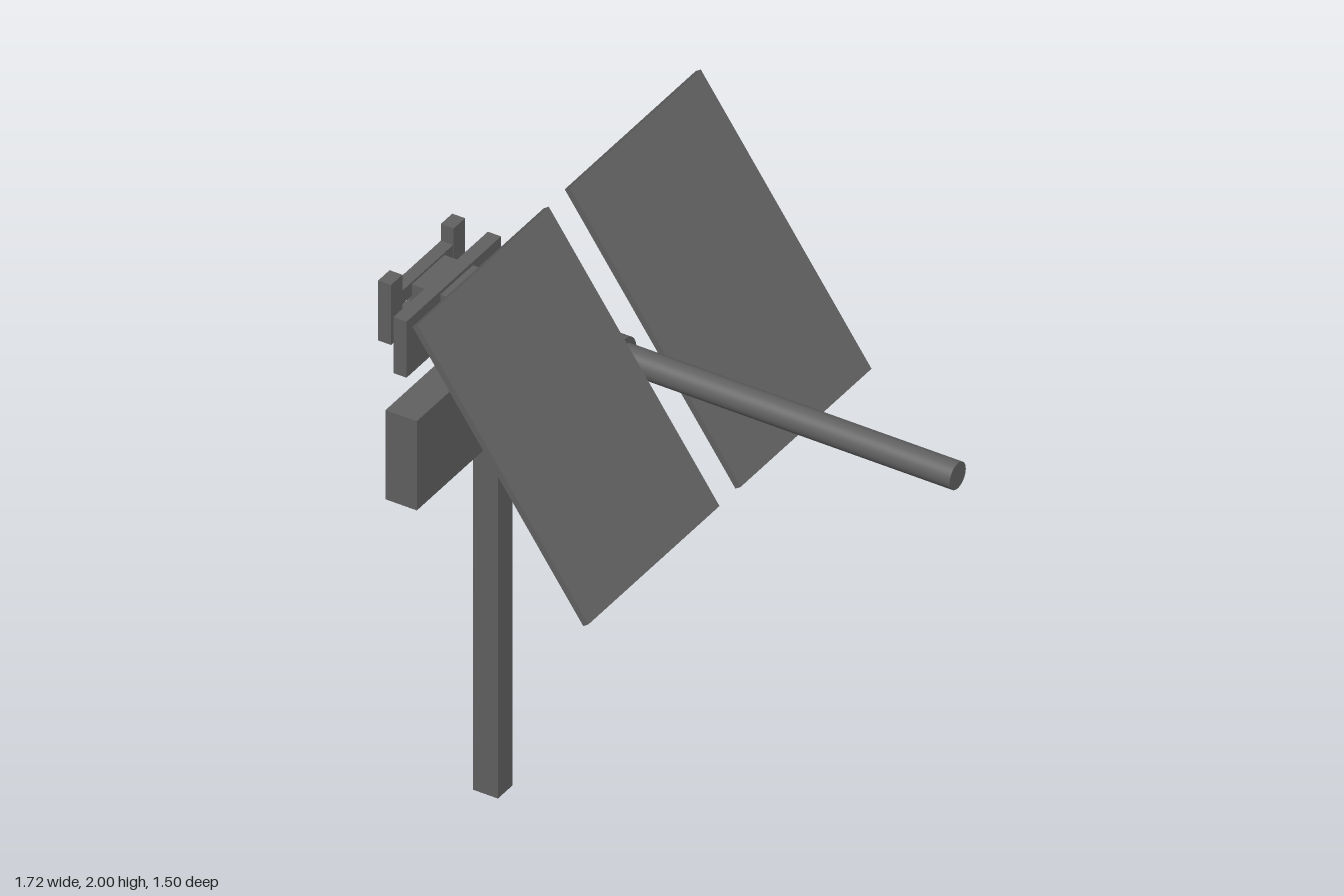
import * as THREE from 'three';

export function createModel() {
  const model = new THREE.Group();
  const mat = new THREE.MeshStandardMaterial({ color: 0x616161 });

  const add = (name, geometry, parent = model) => {
    const mesh = new THREE.Mesh(geometry, mat);
    mesh.name = name;
    parent.add(mesh);
    return mesh;
  };

  // Box given by its extents on each axis
  const box = (name, [x0, x1], [y0, y1], [z0, z1], parent) => {
    const mesh = add(name, new THREE.BoxGeometry(x1 - x0, y1 - y0, z1 - z0), parent);
    mesh.position.set((x0 + x1) / 2, (y0 + y1) / 2, (z0 + z1) / 2);
    return mesh;
  };

  // Cylinder lying along x
  const rod = (name, x0, x1, radius, y, z) => {
    const geometry = new THREE.CylinderGeometry(radius, radius, x1 - x0, 32);
    geometry.rotateZ(-Math.PI / 2);
    add(name, geometry).position.set((x0 + x1) / 2, y, z);
  };

  // Support pole and main body
  box('pole', [-0.65, -0.57], [0, 1.46], [-0.05, 0.025]);
  box('body', [-0.83, -0.41], [1.452, 1.615], [-0.107, 0.058]);

  // Barrel in two diameters
  rod('barrelSleeve', -0.42, -0.2, 0.06, 1.552, -0.03);
  rod('barrel', -0.22, 0.862, 0.041, 1.552, -0.033);

  // Long case on the front side and cross plate near the rear
  box('sideCase', [-0.473, -0.373], [1.442, 1.735], [0.028, 0.75]);
  box('crossPlate', [-0.775, -0.733], [1.442, 1.626], [-0.25, 0.23]);

  // Rear handle: two posts joined by an upper and a lower bar
  const handle = new THREE.Group();
  handle.name = 'rearHandle';
  model.add(handle);
  for (const z of [-0.18, 0.138])
    box('handlePost', [-0.863, -0.822], [1.48, 1.677], [z - 0.029, z + 0.029], handle);
  for (const y of [1.505, 1.6])
    box('handleBar', [-0.863, -0.824], [y - 0.022, y + 0.022], [-0.16, 0.115], handle);

  // Pair of sloping shield panels with a gap for the barrel
  const slope = Math.atan2(-0.775, 0.54);
  for (const [z0, z1] of [[-0.75, -0.085], [0.022, 0.688]]) {
    const panel = box('shieldPanel', [-0.622, 0.332], [1.594, 1.614], [z0, z1]);
    panel.rotation.z = slope;
  }

  return model;
}
